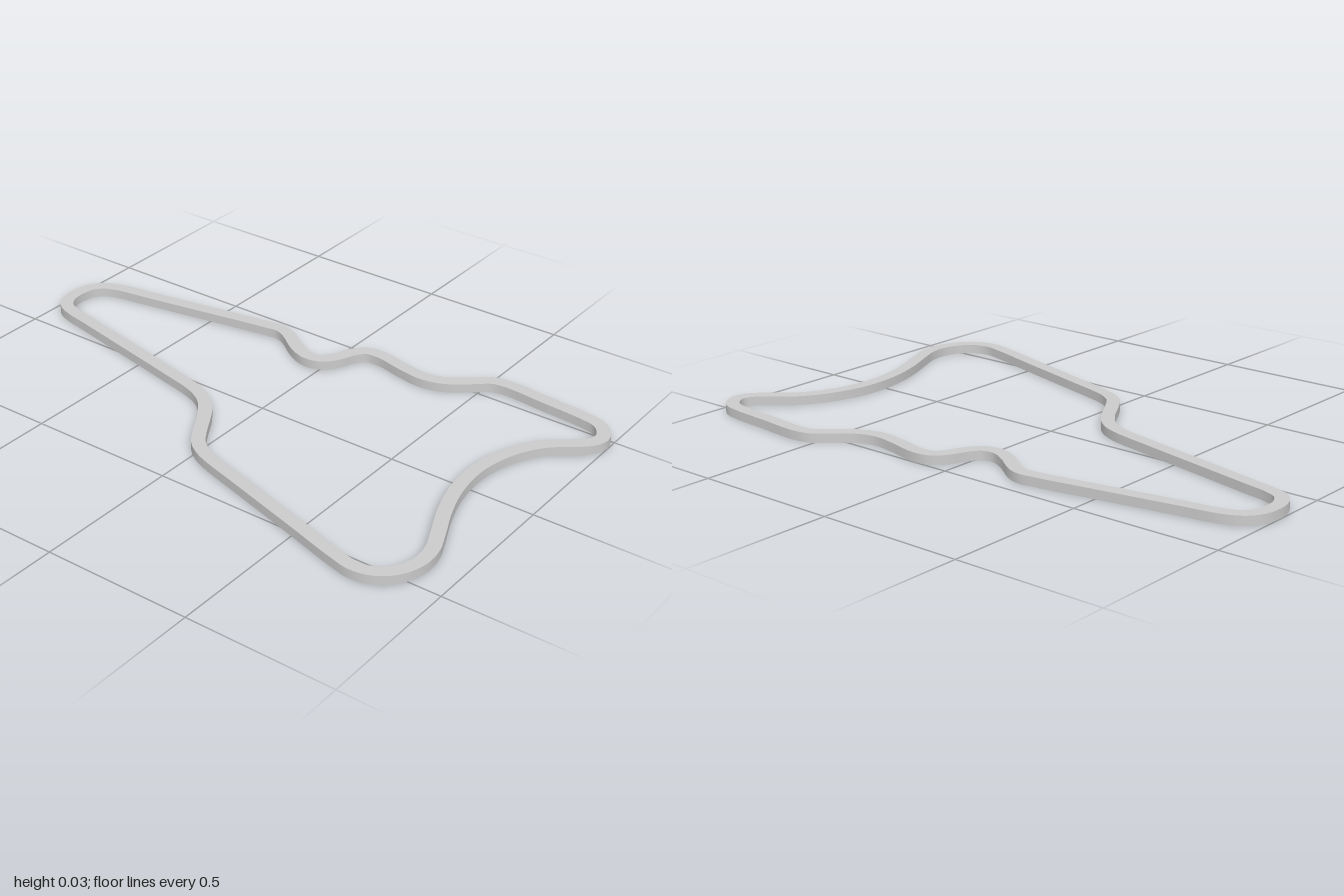
import * as THREE from 'three';
import { toCreasedNormals } from 'three/addons/utils/BufferGeometryUtils.js';

const WIDTH = 0.045, HEIGHT = 0.031, SEGMENTS = 320;

// Centre line of the circuit as x, z pairs, clockwise seen from above
const CENTRE_LINE = [
  -0.977, -0.197, -0.968, -0.25, -0.942, -0.287, -0.89, -0.313,
  -0.76, -0.336, -0.52, -0.377, -0.30, -0.414, -0.238, -0.42, -0.195, -0.403,
  -0.12, -0.35, -0.06, -0.325, -0.008, -0.335, 0.025, -0.375,
  0.053, -0.438, 0.085, -0.47, 0.14, -0.476, 0.245, -0.453,
  0.33, -0.442, 0.405, -0.463, 0.469, -0.512, 0.522, -0.555, 0.58, -0.565,
  0.72, -0.553, 0.87, -0.539, 0.93, -0.525, 0.966, -0.49, 0.977, -0.45,
  0.96, -0.412, 0.915, -0.37, 0.853, -0.317, 0.80, -0.233, 0.768, -0.132,
  0.76, -0.04, 0.773, 0.07, 0.806, 0.18, 0.853, 0.29, 0.88, 0.36,
  0.886, 0.43, 0.861, 0.503, 0.812, 0.549, 0.752, 0.564, 0.68, 0.549,
  0.50, 0.495, 0.25, 0.421, 0.08, 0.37, 0.035, 0.35, -0.005, 0.32,
  -0.04, 0.27, -0.103, 0.166, -0.155, 0.108, -0.22, 0.073,
  -0.36, 0.038, -0.60, -0.016, -0.80, -0.061, -0.90, -0.084, -0.946, -0.107, -0.97, -0.147,
];

// Evenly spaced edge of the track, offset sideways from the centre line
function edge(curve, offset) {
  const points = [];
  for (let i = 0; i < SEGMENTS; i++) {
    const p = curve.getPointAt(i / SEGMENTS);
    const t = curve.getTangentAt(i / SEGMENTS);
    points.push(new THREE.Vector2(p.x + t.z * offset, -(p.z - t.x * offset)));
  }
  return points;
}

export function createModel() {
  const group = new THREE.Group();
  group.name = 'raceCircuit';

  const points = [];
  for (let i = 0; i < CENTRE_LINE.length; i += 2) {
    points.push(new THREE.Vector3(CENTRE_LINE[i], 0, CENTRE_LINE[i + 1]));
  }
  const curve = new THREE.CatmullRomCurve3(points, true, 'centripetal');
  curve.arcLengthDivisions = 1000;

  // Closed band: outer edge with the infield cut out, wound the opposite way
  const shape = new THREE.Shape(edge(curve, WIDTH / 2));
  shape.holes.push(new THREE.Path(edge(curve, -WIDTH / 2).reverse()));
  const band = new THREE.ExtrudeGeometry(shape, { depth: HEIGHT, bevelEnabled: false });
  band.rotateX(-Math.PI / 2);

  const track = new THREE.Mesh(
    toCreasedNormals(band, 0.7),
    new THREE.MeshStandardMaterial({ color: 0xcccccc }),
  );
  track.name = 'track';
  group.add(track);
  return group;
}
